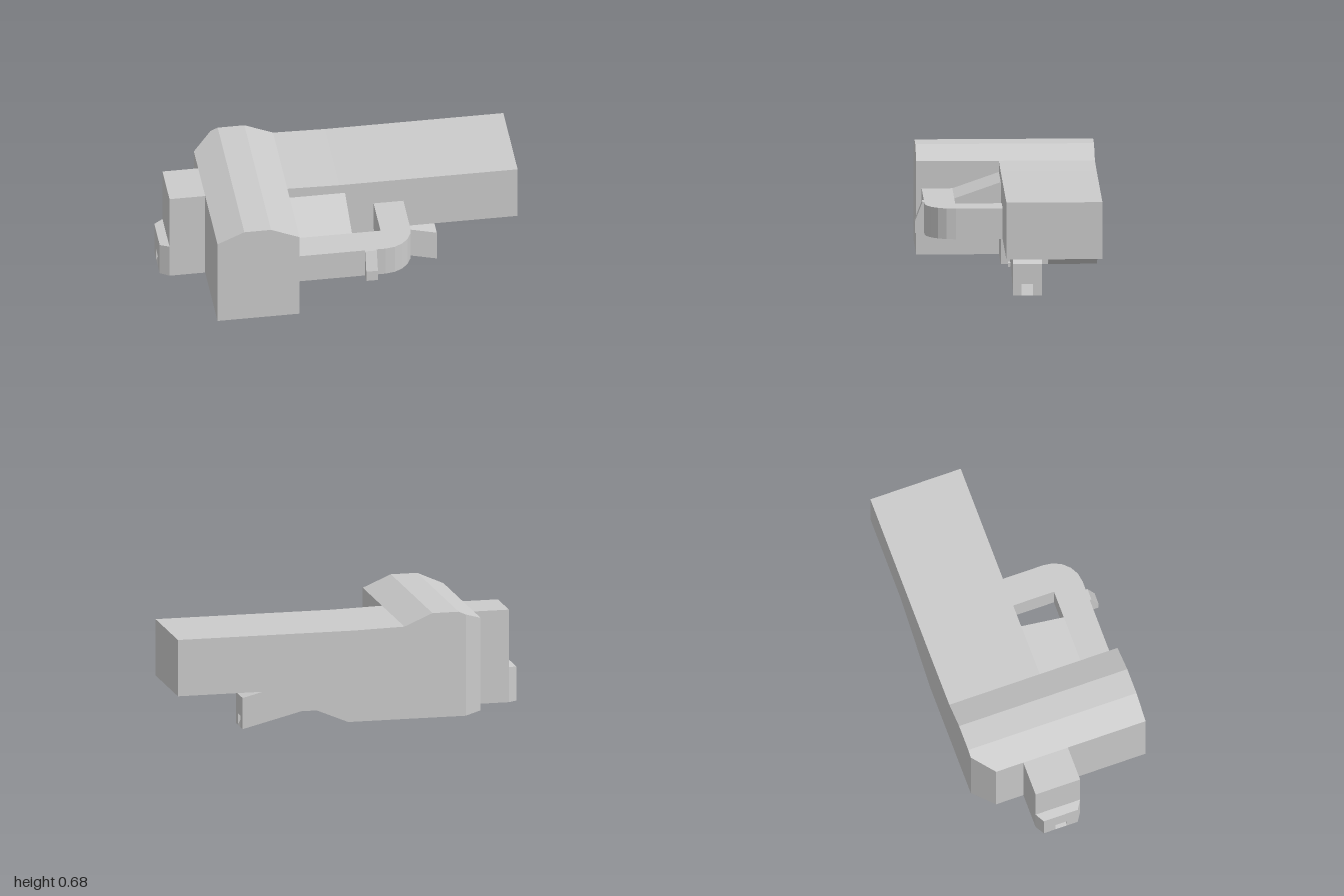
import * as THREE from 'three';

const material = new THREE.MeshStandardMaterial({ color: 0xcccccc, flatShading: true });

function toShape(points) {
  return new THREE.Shape(points.map(([x, y]) => new THREE.Vector2(x, y)));
}

// Side profile (x, y) extruded from z0 to z1; move() can shift vertices afterwards
function slab(points, z0, z1, move) {
  const geo = new THREE.ExtrudeGeometry(toShape(points), { depth: z1 - z0, bevelEnabled: false });
  geo.translate(0, 0, z0);
  if (move) {
    const p = geo.attributes.position;
    const v = new THREE.Vector3();
    for (let i = 0; i < p.count; i++) {
      v.fromBufferAttribute(p, i);
      move(v);
      p.setXYZ(i, v.x, v.y, v.z);
    }
    geo.computeVertexNormals();
  }
  return geo;
}

// Profile (z, y) extruded along x
function crossSlab(points, x0, x1) {
  const geo = new THREE.ExtrudeGeometry(toShape(points.map(([z, y]) => [-z, y])), { depth: x1 - x0, bevelEnabled: false });
  geo.rotateY(Math.PI / 2);
  geo.translate(x0, 0, 0);
  return geo;
}

// Plan outline (x, z) extruded from y0 to y1
function planSlab(shape, y0, y1) {
  const geo = new THREE.ExtrudeGeometry(shape, { depth: y1 - y0, bevelEnabled: false, curveSegments: 5 });
  geo.rotateX(-Math.PI / 2);
  geo.translate(0, y0, 0);
  return geo;
}

export function createModel() {
  const model = new THREE.Group();
  const add = (name, geo, parent = model) => {
    const mesh = new THREE.Mesh(geo, material);
    mesh.name = name;
    parent.add(mesh);
  };

  // Main body: raised ridge and long arm, with a stepped or sloping underside
  const ridge = [[-0.29, 0.612], [-0.45, 0.68], [-0.6, 0.68], [-0.75, 0.613]];
  const armTop = [[1, 0.285], [1, 0.605], [0, 0.605]];
  const sloped = [[-0.75, 0.087], [0.03, 0.087], [0.5, 0.285], ...armTop, ...ridge];
  const stepped = [[-0.75, 0.087], [0.03, 0.087], [0.03, 0.285], ...armTop, ...ridge];
  const body = new THREE.Group();
  body.name = 'body';
  model.add(body);
  add('rearBody', slab(sloped, -0.51, -0.4, (v) => {
    // cut the rear corner diagonally
    if (v.z < -0.5 && v.x < -0.7) {
      v.x = -0.64;
      if (v.y > 0.5) v.y = 0.662;
    }
  }), body);
  add('middleBody', slab(sloped, -0.4, -0.24), body);
  add('frontBody', slab(stepped, -0.24, 0.022), body);
  add('crossBlock', slab([[-0.75, 0.087], [-0.29, 0.087], ...ridge], 0.022, 0.48), body);

  // Side post and its notched, tapered tip
  const stub = [[-0.95, 0.087], [-0.75, 0.087], [-0.75, 0.613], [-0.95, 0.613]];
  add('sidePost', slab(stub, -0.24, 0.022));
  const tip = [[-1, 0.087], [-0.95, 0.087], [-0.95, 0.287], [-1, 0.28]];
  const tipNotched = [[-1, 0.087], [-0.95, 0.087], [-0.95, 0.287], [-1, 0.28], [-1, 0.155], [-0.965, 0.155]];
  const taper = (v) => {
    if (v.x < -0.99) v.z = THREE.MathUtils.clamp(v.z, -0.21, -0.01);
  };
  const sideTip = new THREE.Group();
  sideTip.name = 'sideTip';
  model.add(sideTip);
  add('tipRear', slab(tip, -0.24, -0.14, taper), sideTip);
  add('tipNotch', slab(tipNotched, -0.14, -0.075), sideTip);
  add('tipFront', slab(tip, -0.075, 0.022, taper), sideTip);

  // Bent lever under the arm, notched at its end
  const leverTop = [[0.555, 0.18], [0.24, 0.26], [0.03, 0.26]];
  const lever = [[0.03, 0.087], [0.22, 0.087], [0.555, 0.003], ...leverTop];
  const leverNotched = [[0.03, 0.087], [0.22, 0.087], [0.555, 0.003], [0.52, 0.068], [0.555, 0.068], ...leverTop];
  const leverGroup = new THREE.Group();
  leverGroup.name = 'lever';
  model.add(leverGroup);
  add('leverRear', slab(lever, -0.19, -0.14), leverGroup);
  add('leverNotch', slab(leverNotched, -0.14, -0.075), leverGroup);
  add('leverFront', slab(lever, -0.075, -0.03), leverGroup);

  // Small feet beside the lever root
  for (const z of [-0.195, -0.025]) {
    const foot = new THREE.BoxGeometry(0.06, 0.02, 0.015);
    foot.translate(0.06, 0.093, z);
    add('leverFoot', foot);
  }

  // Curved guard loop in front of the arm
  const guard = new THREE.Shape();
  guard.moveTo(-0.29, -0.45);
  guard.lineTo(0.195, -0.45);
  guard.bezierCurveTo(0.29, -0.45, 0.36, -0.37, 0.36, -0.28);
  guard.lineTo(0.36, -0.02);
  guard.lineTo(0.193, -0.02);
  guard.lineTo(0.193, -0.28);
  guard.lineTo(-0.29, -0.28);
  guard.closePath();
  add('guardLoop', planSlab(guard, 0.287, 0.459));

  // Sloping block between guard and body
  add('slopedBlock', crossSlab([[0.02, 0.287], [0.28, 0.287], [0.28, 0.459], [0.02, 0.55]], -0.29, 0.033));

  // Catch on the front of the guard
  add('frontCatch', crossSlab([[0.445, 0.287], [0.502, 0.287], [0.502, 0.35], [0.46, 0.459], [0.445, 0.459]], 0.08, 0.145));

  return model;
}
